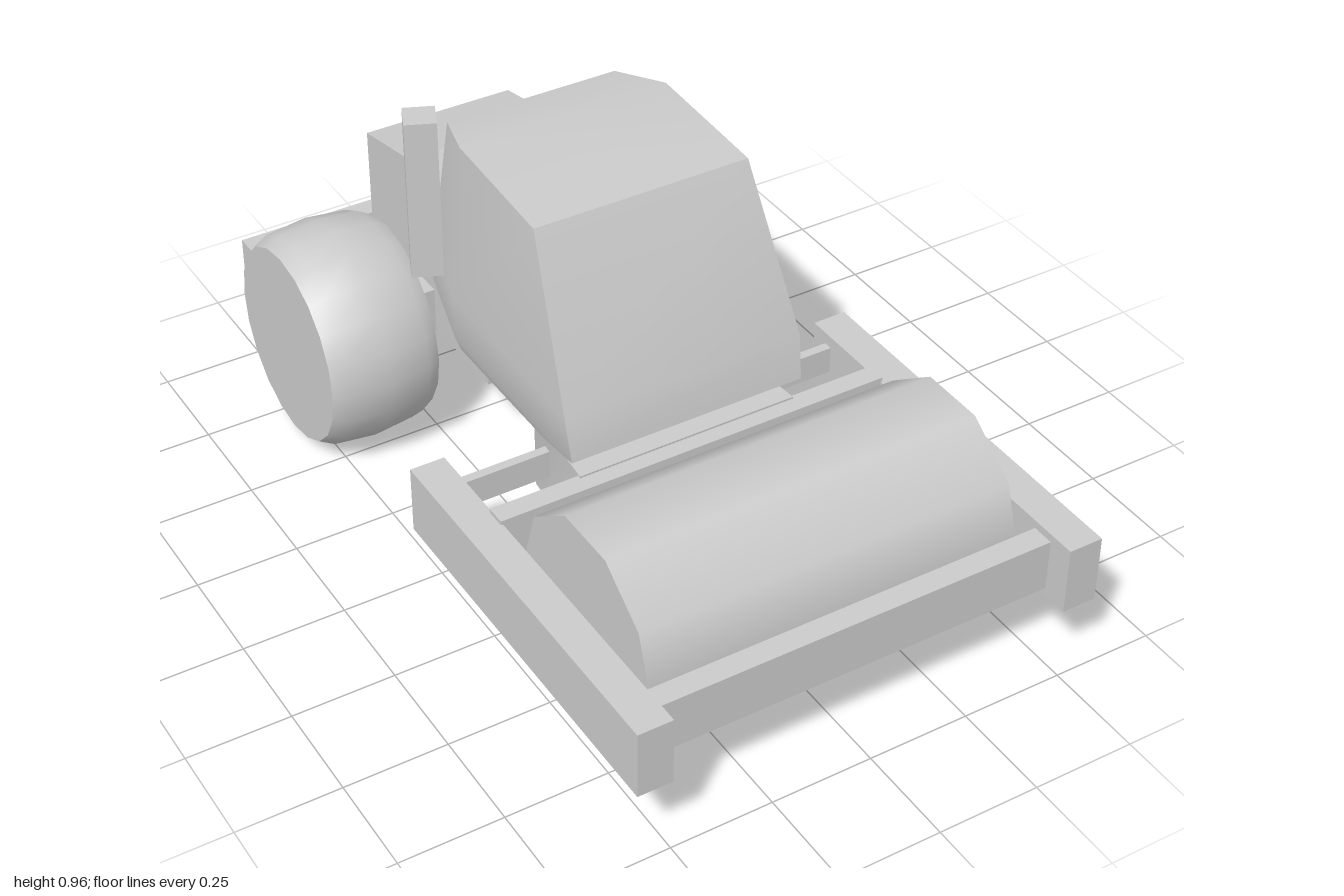
import * as THREE from 'three';
import { toCreasedNormals } from 'three/addons/utils/BufferGeometryUtils.js';

const material = new THREE.MeshStandardMaterial({ color: 0xcccccc });

function add(parent, name, geometry, x = 0, y = 0, z = 0) {
  const mesh = new THREE.Mesh(geometry, material);
  mesh.name = name;
  mesh.position.set(x, y, z);
  parent.add(mesh);
  return mesh;
}

// Box given by its extents: x0, x1, y0, y1, z0, z1
function block(parent, name, x0, x1, y0, y1, z0, z1) {
  return add(parent, name, new THREE.BoxGeometry(x1 - x0, y1 - y0, z1 - z0),
    (x0 + x1) / 2, (y0 + y1) / 2, (z0 + z1) / 2);
}

// Side profile of [z, y] points, extruded across x
function sideExtrusion(points, halfWidth) {
  const shape = new THREE.Shape(points.map(([z, y]) => new THREE.Vector2(-z, y)));
  const geometry = new THREE.ExtrudeGeometry(shape, { depth: halfWidth * 2, bevelEnabled: false });
  return geometry.translate(0, 0, -halfWidth).rotateY(Math.PI / 2);
}

// Skin over stacked rings, each mirrored from its +x half of [x, y, z] points, front to back
function loft(halves, crease) {
  const rings = halves.map(h => [...h, ...[...h].reverse().map(([x, y, z]) => [-x, y, z])]);
  const n = rings[0].length;
  const half = n / 2;
  const index = [];
  for (let r = 0; r < rings.length - 1; r++) {
    for (let i = 0; i < n; i++) {
      const a = r * n + i, b = r * n + (i + 1) % n;
      index.push(a, b, b + n, a, b + n, a + n);
    }
  }
  const top = (rings.length - 1) * n;
  for (let i = 0; i < half - 1; i++) {
    const a = i, b = i + 1, c = n - 2 - i, d = n - 1 - i;
    index.push(top + a, top + b, top + c, top + a, top + c, top + d);
    index.push(a, c, b, a, d, c);
  }
  const geometry = new THREE.BufferGeometry();
  geometry.setAttribute('position', new THREE.Float32BufferAttribute(rings.flat(2), 3));
  geometry.setIndex(index);
  return toCreasedNormals(geometry, crease);
}

export function createModel() {
  const model = new THREE.Group();
  model.name = 'roadRoller';

  // Ten-sided compaction drum
  const drum = new THREE.CylinderGeometry(0.265, 0.265, 0.93, 10).rotateX(Math.PI / 2);
  drum.rotateY(Math.PI / 2).rotateX(0);
  // Put a corner at the top
  drum.rotateX(Math.PI / 2);
  add(model, 'drum', drum, 0, 0.275, 0.6);

  // Drum frame
  const frame = new THREE.Group();
  frame.name = 'drumFrame';
  model.add(frame);
  for (const s of [-1, 1]) {
    const x = 0.5375 * s;
    block(frame, 'sideRail', x - 0.0425, x + 0.0425, 0.19, 0.36, 0.03, 1);
  }
  block(frame, 'frontCrossbar', -0.5, 0.5, 0.21, 0.34, 0.88, 0.935);
  block(frame, 'rearCrossbar', -0.5, 0.5, 0.185, 0.37, 0.25, 0.3);
  block(frame, 'thinCrossbar', -0.5, 0.5, 0.26, 0.33, 0.077, 0.1);

  // Tapering hitch between drum frame and chassis
  const hitchRing = (y) => [[0.28, y, 0.26], [0.26, y, 0.02], [0.13, y, -0.2]];
  add(model, 'hitch', loft([hitchRing(0.18), hitchRing(0.375)], 0.7));

  // Cab: rings from floor to roof
  add(model, 'cab', loft([
    [[0.29, 0.39, 0.12], [0.29, 0.39, -0.27], [0.24, 0.39, -0.45]],
    [[0.3, 0.42, 0.26], [0.305, 0.43, -0.27], [0.25, 0.45, -0.48]],
    [[0.305, 0.53, 0.24], [0.305, 0.54, -0.27], [0.25, 0.54, -0.47]],
    [[0.272, 0.91, 0.06], [0.268, 0.93, -0.28], [0.22, 0.9, -0.43]],
  ], 0.75));

  // Exhaust stack beside the cab
  const exhaust = block(model, 'exhaust', -0.345, -0.27, 0.555, 0.965, -0.43, -0.355);
  exhaust.rotation.y = -0.42;

  // Engine hood and chassis in one profile
  add(model, 'engineBody', sideExtrusion([
    [-0.31, 0.4], [-0.32, 0.22], [-0.8, 0.22], [-0.915, 0.28],
    [-0.915, 0.605], [-0.69, 0.652], [-0.4, 0.652], [-0.4, 0.4],
  ], 0.197));

  // Axle and rear wheels
  block(model, 'rearAxle', -0.3, 0.3, 0.215, 0.335, -0.705, -0.585);
  const tyre = [[0, -0.14], [0.245, -0.14], [0.264, -0.105], [0.275, 0],
    [0.264, 0.105], [0.245, 0.14], [0, 0.14]].map(([r, x]) => new THREE.Vector2(r, x));
  const wheel = toCreasedNormals(new THREE.LatheGeometry(tyre, 20).rotateZ(-Math.PI / 2), 0.85);
  for (const s of [-1, 1]) add(model, 'rearWheel', wheel, 0.427 * s, 0.277, -0.64);

  // Rear bumper, standing clear of the hood
  block(model, 'rearBumper', -0.515, 0.515, 0.205, 0.35, -1, -0.945);

  return model;
}
